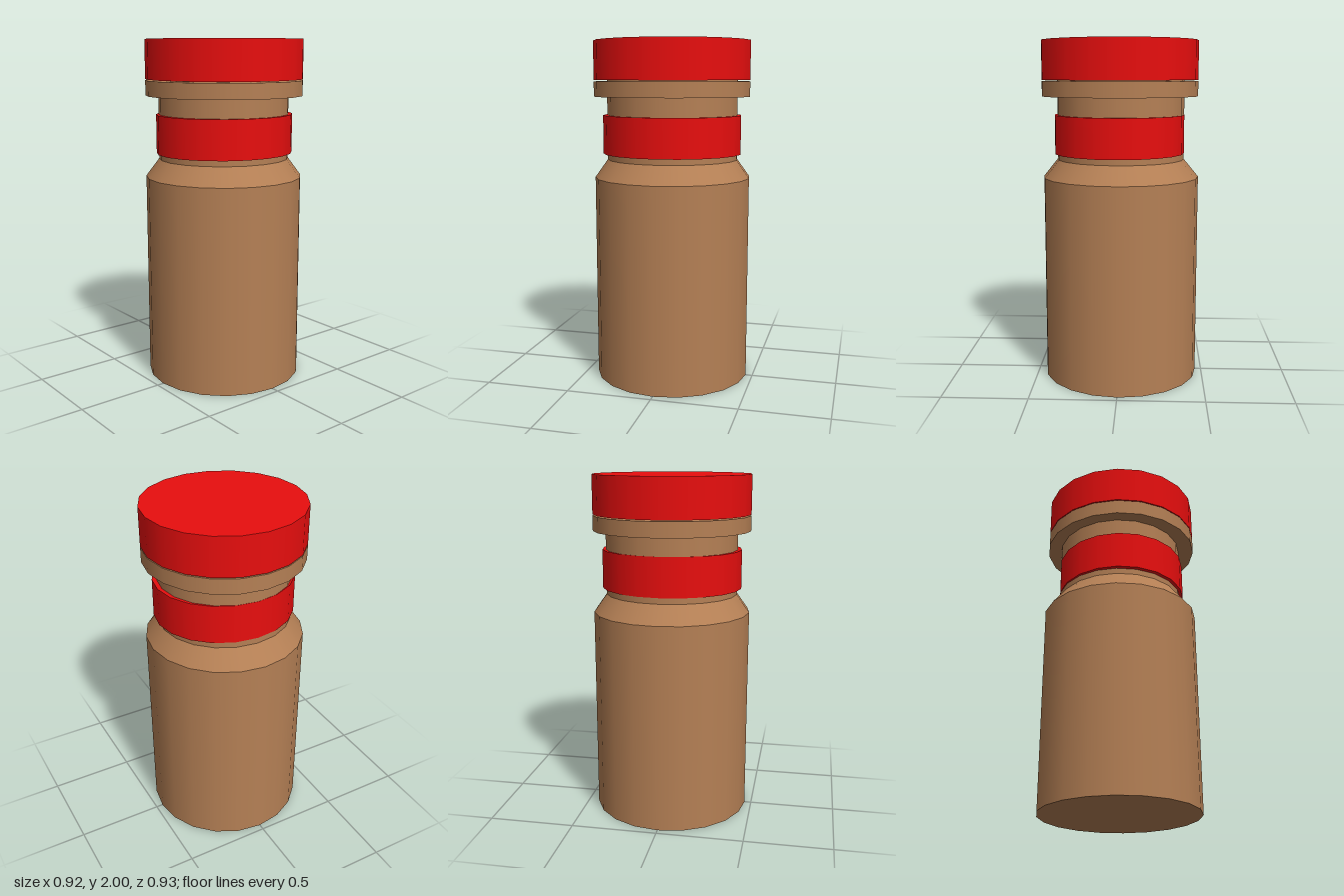
import * as THREE from 'three';

const SIDES = 20;

// Upright 20-sided section between two ellipses: { y, rx, rz, z } each
function section(name, bottom, top, material) {
  const height = top.y - bottom.y;
  const geometry = new THREE.CylinderGeometry(top.rx, bottom.rx, height, SIDES);
  const pos = geometry.attributes.position;
  for (let i = 0; i < pos.count; i++) {
    const ring = pos.getY(i) > 0 ? top : bottom;
    pos.setZ(i, pos.getZ(i) * ring.rz / ring.rx + ring.z);
  }
  geometry.translate(0, bottom.y + height / 2, 0);
  const mesh = new THREE.Mesh(geometry, material);
  mesh.name = name;
  return mesh;
}

const ellipse = (y, rx, rz, z) => ({ y, rx, rz, z });

export function createModel() {
  const model = new THREE.Group();
  model.name = 'bottle';
  const brown = new THREE.MeshStandardMaterial({ color: 0xb58055 });
  const red = new THREE.MeshStandardMaterial({ color: 0xe80e0e });

  // Shared outlines
  const wide = (y, z) => ellipse(y, 0.46, 0.46, z);
  const narrow = (y) => ellipse(y, 0.386, 0.374, -0.002);
  const band = (y) => ellipse(y, 0.41, 0.383, 0.006);

  model.add(
    // Bottle from base to neck
    section('body', wide(0, -0.003), wide(1.207, -0.003), brown),
    section('shoulder', wide(1.207, -0.003), narrow(1.312), brown),
    section('neck', narrow(1.312), narrow(1.79), brown),
    // Band around the neck
    section('neckBand', band(1.346), band(1.572), red),
    // Lip and lid, with a hairline gap between them
    section('lip', wide(1.68, 0.004), wide(1.768, 0.004), brown),
    section('lid', wide(1.774, 0.004), wide(2, 0.004), red)
  );
  return model;
}
